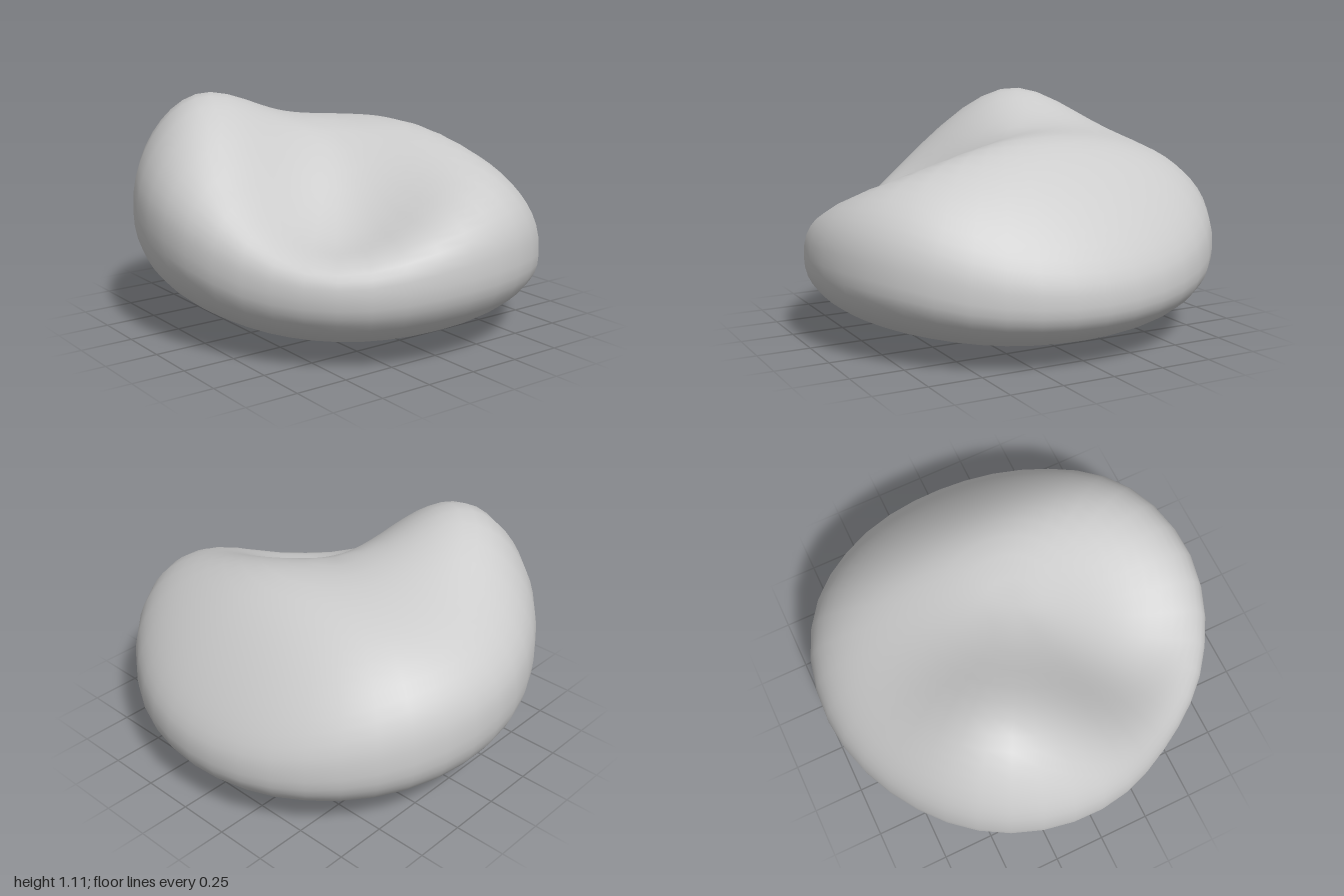
import * as THREE from 'three';
import { mergeVertices } from 'three/addons/utils/BufferGeometryUtils.js';

// Outline every 30 degrees from +x towards +z: radius, height of the widest point
const OUTLINE = [
  [0.99, 0.41], [0.94, 0.36], [0.90, 0.38], [0.945, 0.52], [0.975, 0.56], [0.975, 0.52],
  [1.0, 0.48], [1.015, 0.42], [0.988, 0.34], [0.96, 0.30], [0.967, 0.32], [0.995, 0.40],
];

const bump = (x, z, cx, cz, sx, sz) =>
  Math.exp(-((x - cx) ** 2) / (2 * sx * sx) - ((z - cz) ** 2) / (2 * sz * sz));

// Height of the upper side before it rounds off towards the rim
function topHeight(x, z) {
  return 0.96
    + 0.29 * bump(x, z, -0.4, 0.63, 0.38, 0.3)    // front peak
    + 0.03 * bump(x, z, 0.15, -0.35, 0.3, 0.2)    // rear hump
    - 0.40 * bump(x, z, 0.53, 0.40, 0.36, 0.36)   // hollow sloping to the front corner
    - 0.70 * Math.max(0, -z - 0.3) ** 2;          // falling back
}

export function createModel() {
  const group = new THREE.Group();
  group.name = 'rock';

  const outline = new THREE.CatmullRomCurve3(
    OUTLINE.map(([r, y]) => new THREE.Vector3(r, y, 0)), true, 'catmullrom', 0.5);

  // Sphere welded along its seam, reshaped into a boulder
  let geometry = new THREE.SphereGeometry(1, 40, 32);
  geometry.deleteAttribute('uv');
  geometry.deleteAttribute('normal');
  geometry = mergeVertices(geometry, 1e-4);

  const pos = geometry.attributes.position;
  const rim = new THREE.Vector3();
  for (let i = 0; i < pos.count; i++) {
    const px = pos.getX(i), py = pos.getY(i), pz = pos.getZ(i);
    const turn = Math.atan2(pz, px) / (2 * Math.PI);
    outline.getPoint((turn + 1) % 1, rim);

    // Superellipse section, a little squarer than a circle
    const power = 2 / (py > 0 ? 2.4 : 2.3);
    const reach = rim.x * Math.min(1, Math.hypot(px, pz)) ** power;
    const rise = Math.min(1, Math.abs(py)) ** power;
    const x = reach * Math.cos(turn * 2 * Math.PI);
    const z = reach * Math.sin(turn * 2 * Math.PI);
    const limit = py > 0 ? topHeight(x, z) : 0;
    pos.setXYZ(i, x, rim.y + (limit - rim.y) * rise, z);
  }
  geometry.computeVertexNormals();

  const boulder = new THREE.Mesh(geometry, new THREE.MeshStandardMaterial({ color: 0xcccccc }));
  boulder.name = 'boulder';
  group.add(boulder);
  return group;
}
